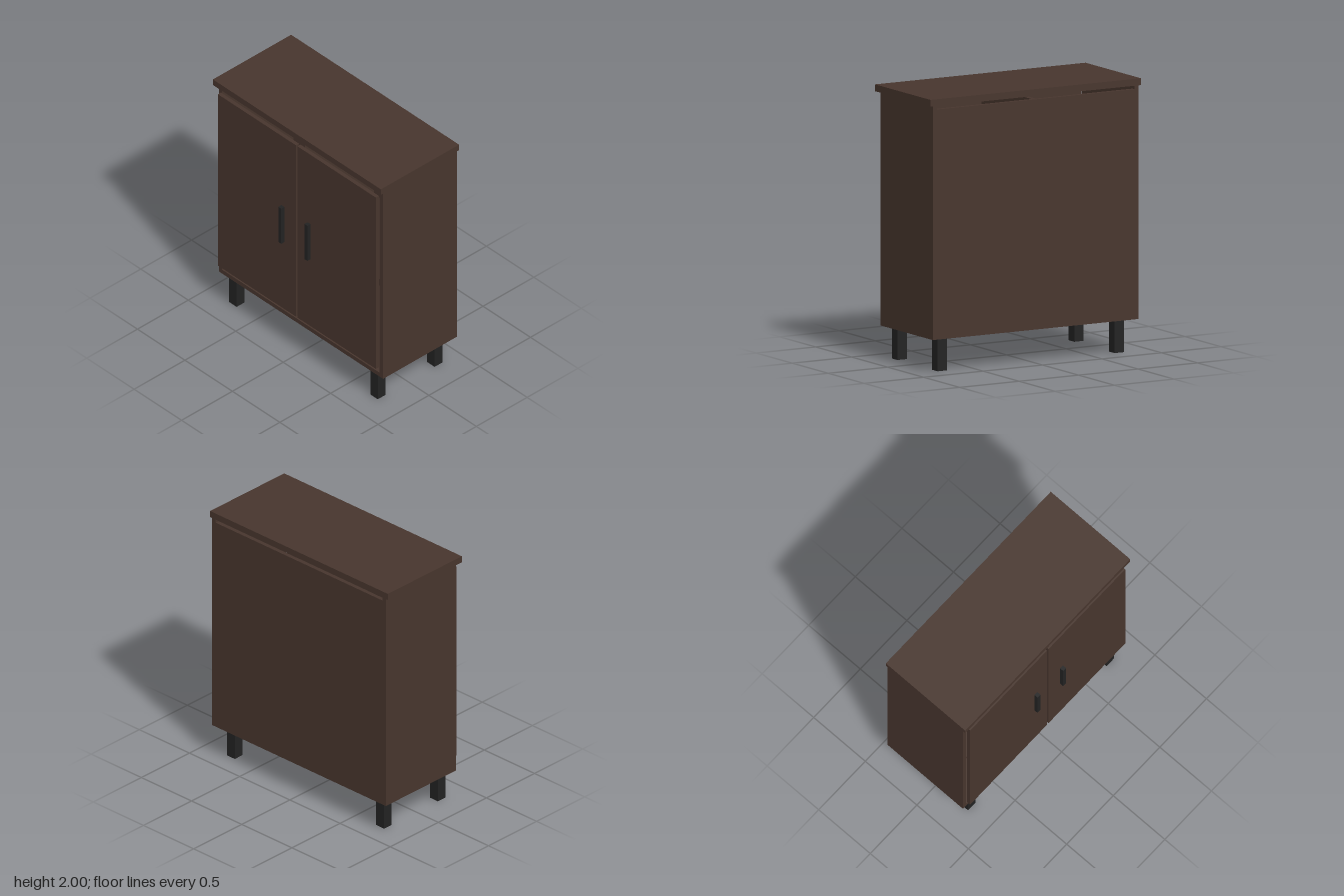
import * as THREE from 'three';

export function createModel() {
  const cabinet = new THREE.Group();
  cabinet.name = 'cabinet';

  const wood = new THREE.MeshStandardMaterial({ color: 0x47352d });
  wood.name = 'dark brown wood';
  const black = new THREE.MeshStandardMaterial({ color: 0x222222 });
  black.name = 'black metal';

  // Box given by its extents on each axis
  function box(name, material, [x0, x1], [y0, y1], [z0, z1]) {
    const mesh = new THREE.Mesh(new THREE.BoxGeometry(x1 - x0, y1 - y0, z1 - z0), material);
    mesh.position.set((x0 + x1) / 2, (y0 + y1) / 2, (z0 + z1) / 2);
    mesh.name = name;
    cabinet.add(mesh);
  }
  // Extents mirrored to the left (+1) or right (-1)
  const mirror = (side, a, b) => (side > 0 ? [a, b] : [-b, -a]);

  const back = -0.405, front = 0.325;

  // Carcass: overhanging top, floor, and a back that stops short of the top
  box('topPanel', wood, [-0.885, 0.885], [1.95, 2], [back, 0.365]);
  box('floorPanel', wood, [-0.83, 0.83], [0.245, 0.28], [back, front]);
  box('backPanel', wood, [-0.83, 0.83], [0.28, 1.925], [back, back + 0.03]);

  // Interior divider and door catch
  box('divider', wood, [-0.018, 0.018], [0.305, 1.925], [back + 0.03, 0.3]);
  box('doorCatch', black, [-0.008, 0.008], [1.758, 1.782], [0.3, 0.337]);

  for (const side of [1, -1]) {
    const label = side > 0 ? 'left' : 'right';
    box(label + 'SidePanel', wood, mirror(side, 0.83, 0.865), [0.245, 1.95], [back, front]);
    box(label + 'Shelf', wood, mirror(side, 0.018, 0.83), [1.05, 1.08], [back + 0.03, 0.28]);
    box(label + 'Door', wood, mirror(side, 0.008, 0.832), [0.338, 1.895], [0.335, 0.365]);
    box(label + 'Handle', black, mirror(side, 0.122, 0.153), [0.957, 1.276], [0.374, 0.405]);
    // Square legs
    box(label + 'FrontLeg', black, mirror(side, 0.704, 0.783), [0, 0.245], [0.222, 0.3]);
    box(label + 'BackLeg', black, mirror(side, 0.704, 0.783), [0, 0.245], [-0.337, -0.259]);
  }

  return cabinet;
}
